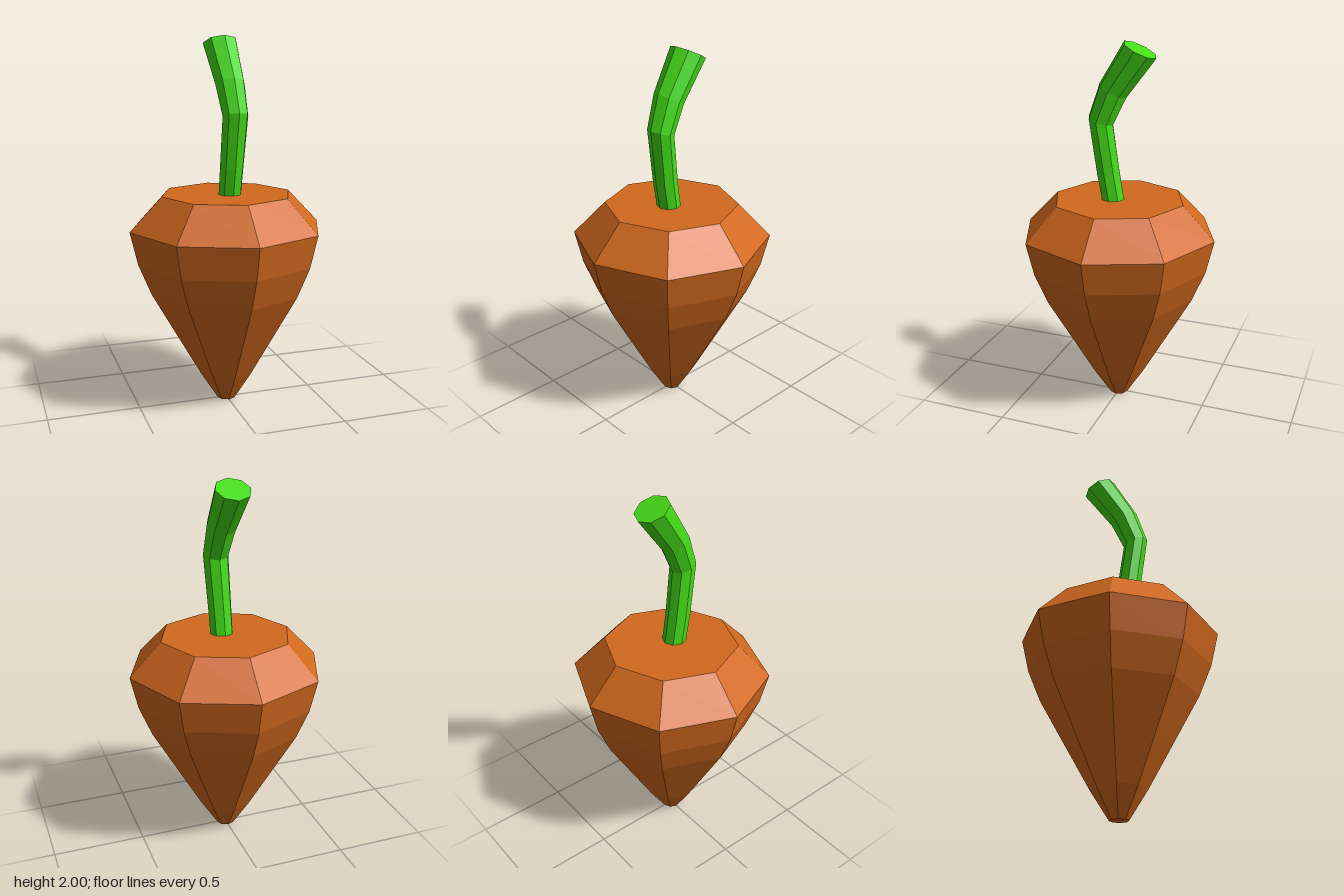
import * as THREE from 'three';

const material = (color) => new THREE.MeshStandardMaterial({ color, flatShading: true });

// Eight-sided root, turned from tip to flat crown
function createRoot() {
  const profile = [
    [0, 0], [0.05, 0], [0.148, 0.155], [0.28, 0.39], [0.42, 0.64],
    [0.49, 0.81], [0.532, 0.99], [0.358, 1.17], [0, 1.17],
  ].map(([r, y]) => new THREE.Vector2(r, y));
  const root = new THREE.Mesh(new THREE.LatheGeometry(profile, 8), material(0xd2691e));
  root.name = 'root';
  return root;
}

// Bent stalk: a unit cylinder whose rings are moved, widened and tilted
function createStem() {
  const rings = [ // centre x, y, z, radius, tilt
    [0.01, 1.15, 0.027, 0.063, 0],
    [0.012, 1.31, 0.055, 0.065, 0.02],
    [0.02, 1.59, 0.093, 0.07, 0.29],
    [0.011, 1.75, 0.029, 0.08, 0.46],
    [0, 1.96, -0.113, 0.094, 0.45],
  ];
  const geometry = new THREE.CylinderGeometry(1, 1, rings.length - 1, 8, rings.length - 1);
  const pos = geometry.attributes.position;
  for (let i = 0; i < pos.count; i++) {
    const level = Math.round(pos.getY(i) + (rings.length - 1) / 2);
    const [cx, cy, cz, r, tilt] = rings[level];
    const x = pos.getX(i) * r;
    const z = pos.getZ(i) * r;
    pos.setXYZ(i, cx + x, cy + z * Math.sin(tilt), cz + z * Math.cos(tilt));
  }
  geometry.computeVertexNormals();
  const stem = new THREE.Mesh(geometry, material(0x44dd18));
  stem.name = 'stem';
  return stem;
}

export function createModel() {
  const group = new THREE.Group();
  group.name = 'carrot';
  group.add(createRoot(), createStem());
  return group;
}
